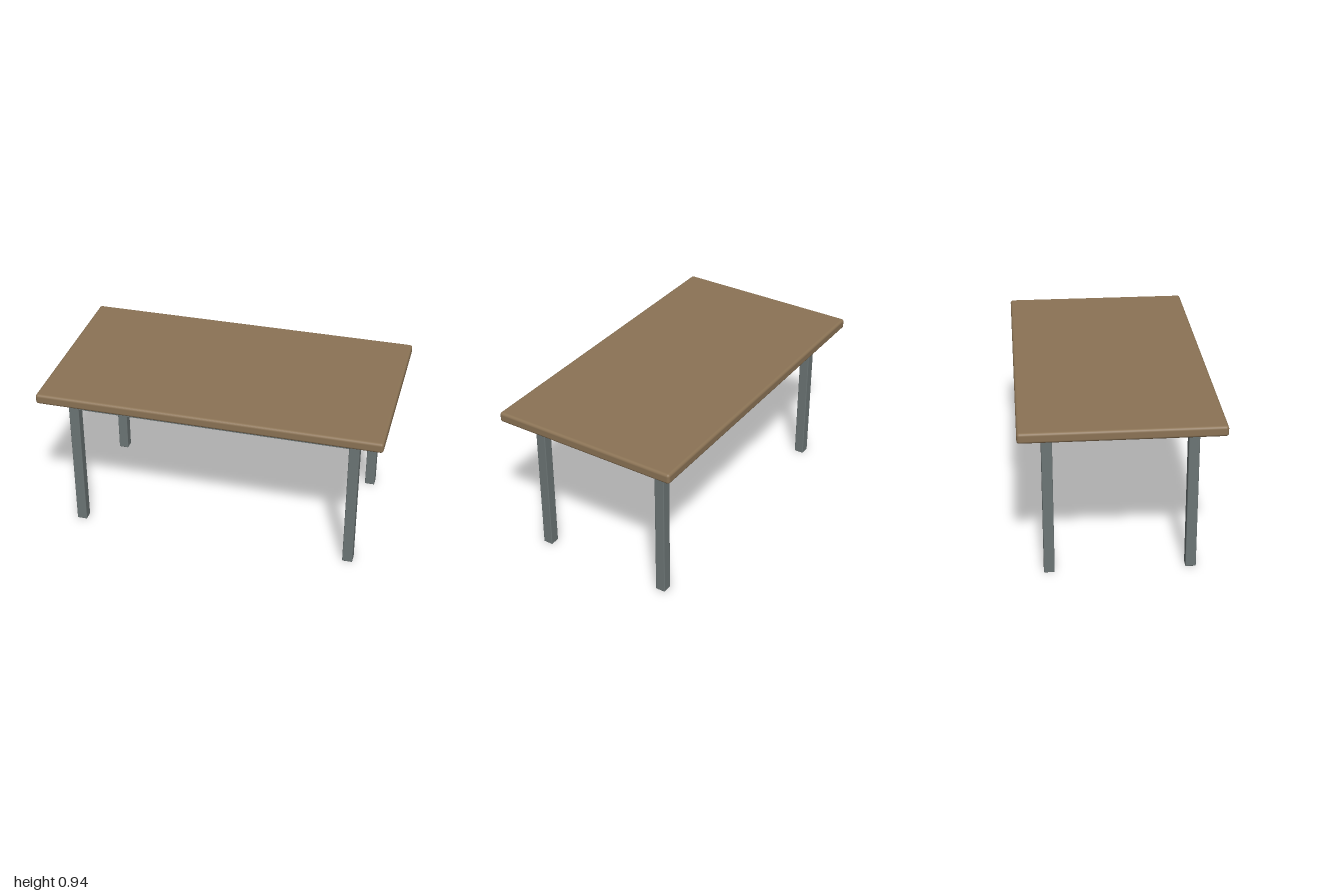
import * as THREE from 'three';
import { RoundedBoxGeometry } from 'three/addons/geometries/RoundedBoxGeometry.js';

export function createModel() {
  const table = new THREE.Group();
  table.name = 'table';
  const wood = new THREE.MeshStandardMaterial({ color: 0x8b7355 });
  const metal = new THREE.MeshStandardMaterial({ color: 0x6c7575 });

  const add = (name, geometry, material, x, y, z) => {
    const mesh = new THREE.Mesh(geometry, material);
    mesh.name = name;
    mesh.position.set(x, y, z);
    table.add(mesh);
  };

  // Tabletop with softened edges
  add('tabletop', new RoundedBoxGeometry(2, 0.06, 1.12, 4, 0.016), wood, 0, 0.915, 0);

  // Four square legs, and a long rail between each front and back pair
  const legGeometry = new RoundedBoxGeometry(0.06, 0.89, 0.06, 3, 0.005);
  const railGeometry = new THREE.BoxGeometry(1.6, 0.07, 0.04);
  for (const [end, z] of [['front', 0.4], ['back', -0.4]]) {
    add(end + 'LeftLeg', legGeometry, metal, 0.825, 0.445, z);
    add(end + 'RightLeg', legGeometry, metal, -0.825, 0.445, z);
    add(end + 'Rail', railGeometry, metal, 0, 0.825, z);
  }
  return table;
}
